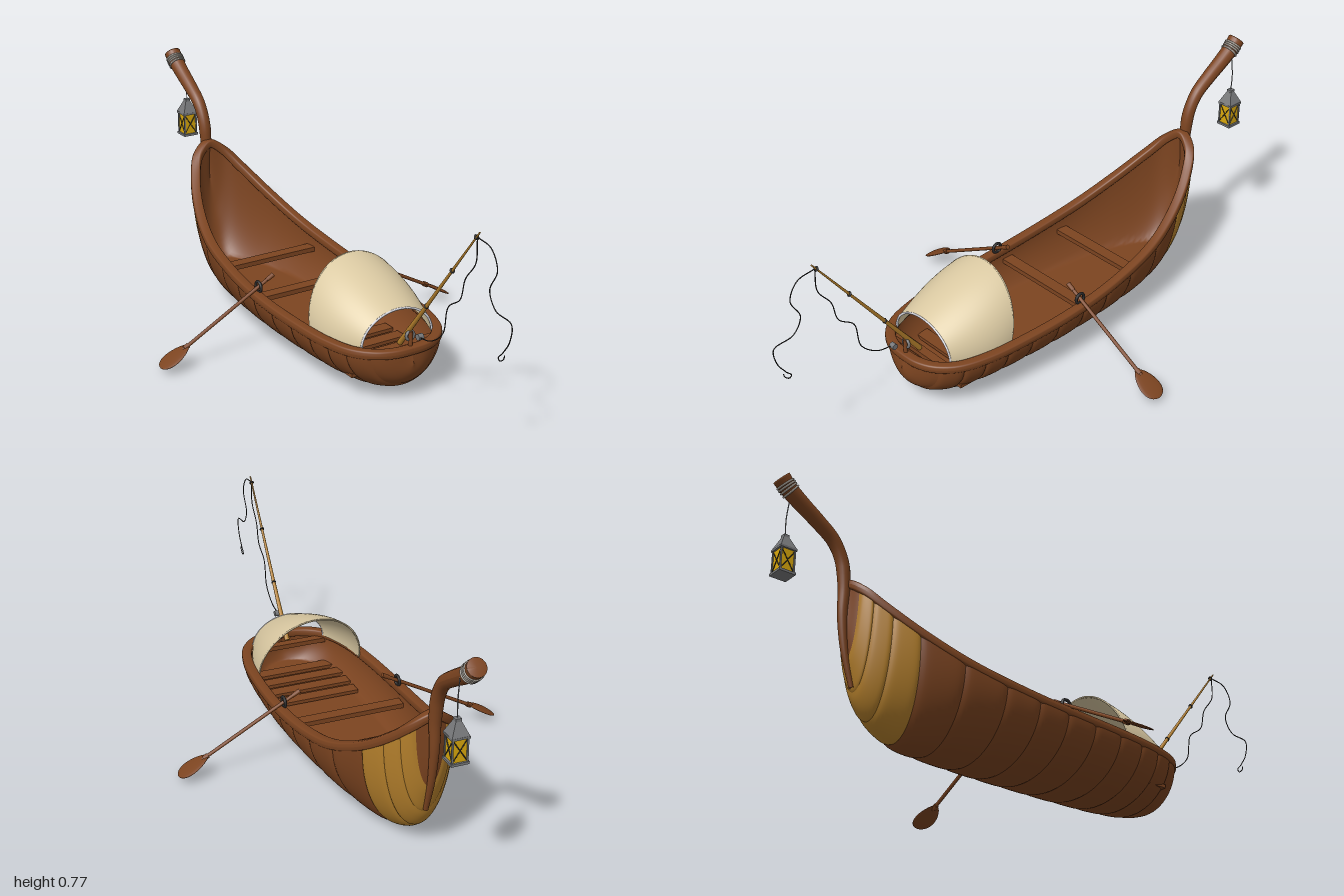
import * as THREE from 'three';
import { ParametricGeometry } from 'three/addons/geometries/ParametricGeometry.js';

const V = (x, y, z) => new THREE.Vector3(x, y, z);
const mat = (name, color) => new THREE.MeshStandardMaterial({ name, color, side: THREE.DoubleSide });

// Hull stations, bow to stern: rim z, rim y, half width, keel z, keel y
const STATIONS = [
  [.535, .16, 0, .545, .12], [.53, .16, .06, .537, .08], [.505, .16, .115, .512, .045],
  [.45, .16, .163, .45, .02], [.35, .162, .195, .35, .012], [.2, .167, .212, .2, .01],
  [0, .176, .218, 0, .008], [-.2, .197, .21, -.2, .004], [-.4, .24, .187, -.4, .001],
  [-.55, .308, .147, -.53, .005], [-.65, .378, .102, -.65, .07], [-.708, .435, .058, -.708, .2],
  [-.727, .468, 0, -.735, .36],
];
const rim = new THREE.CatmullRomCurve3(STATIONS.map(s => V(s[2], s[1], s[0])));
const keel = new THREE.CatmullRomCurve3(STATIONS.map(s => V(0, s[4], s[3])));

// Point on the hull: t runs bow to stern, v runs from one rim under the keel to the other
function hullPoint(t, v, grow, out) {
  const r = rim.getPoint(t), k = keel.getPoint(t);
  const a = (v - .5) * Math.PI, f = 1 - Math.cos(a);
  return out.set((Math.max(r.x, 0) + grow) * Math.sin(a),
    k.y + (r.y - k.y) * f - grow * (1 - f), k.z + (r.z - k.z) * f);
}

export function createModel() {
  const wood = mat('brown wood', 0x7c4420);
  const gold = mat('ochre wood', 0xb5802c);
  const cloth = mat('cream cloth', 0xdac9a2);
  const white = mat('white trim', 0xe6e6ee);
  const grey = mat('grey metal', 0x77787a);
  const dark = mat('dark iron', 0x2b2a2a);
  const glow = mat('yellow glass', 0xdba90c);
  const rope = mat('pale rope', 0xa39c92);

  const model = new THREE.Group();
  const add = (name, geo, material, parent = model) => {
    const mesh = new THREE.Mesh(geo, material);
    mesh.name = name;
    parent.add(mesh);
    return mesh;
  };
  const surface = (fn, nu, nv) => {
    const geo = new ParametricGeometry(fn, nu, nv);
    geo.computeVertexNormals();
    return geo;
  };
  const rod = (name, a, b, r0, r1, material, parent = model, sides = 10) => {
    const mesh = add(name, new THREE.CylinderGeometry(r1, r0, a.distanceTo(b), sides), material, parent);
    mesh.position.copy(a).lerp(b, .5);
    mesh.quaternion.setFromUnitVectors(V(0, 1, 0), b.clone().sub(a).normalize());
    return mesh;
  };
  const cord = (name, pts, r, material, parent = model) =>
    add(name, new THREE.TubeGeometry(new THREE.CatmullRomCurve3(pts), pts.length * 8, r, 5), material, parent);
  const box = (name, w, h, d, x, y, z, material, parent = model) => {
    const mesh = add(name, new THREE.BoxGeometry(w, h, d), material, parent);
    mesh.position.set(x, y, z);
    return mesh;
  };

  // Hull planking: bulging bands with grooves between them; ochre ones near the stern
  const seams = [0, 2.2, 3.2, 3.9, 4.5, 5.1, 5.65, 6.2, 6.75, 7.35, 8.1, 9.05, 9.8, 10.5, 11.2, 12];
  for (let i = 0; i < seams.length - 1; i++) {
    const a = seams[i] / 12, b = seams[i + 1] / 12;
    const painted = i >= 11 && i <= 13;
    add(painted ? 'ochreBand' : 'hullBand', surface((u, v, p) => {
      const bulge = i === 0 || i === 14 ? 0 : .006 * (1 - Math.pow(Math.abs(2 * u - 1), 6));
      hullPoint(a + (b - a) * u, v, bulge, p);
    }, 14, 40), painted ? gold : wood);
  }

  // Inner shell, flattened at the bottom into a floor
  add('innerHull', surface((u, v, p) => {
    hullPoint(u, v, 0, p);
    p.x *= .93;
    p.z = -.1 + (p.z + .1) * .975;
    p.y = Math.max(p.y, .06);
  }, 80, 40), wood);

  // Gunwale swept around the rim
  const side = STATIONS.map(s => V(s[2], s[1], s[0]));
  const loop = new THREE.CatmullRomCurve3(
    [...side, ...side.slice(1, -1).reverse().map(p => V(-p.x, p.y, p.z))], true);
  add('gunwale', surface((u, v, p) => {
    const c = loop.getPoint(u % 1), t = loop.getTangent(u % 1);
    const n = V(-t.z, 0, t.x).normalize(), up = t.clone().cross(n);
    const a = v * Math.PI * 2, sq = x => Math.sign(x) * Math.pow(Math.abs(x), .5);
    p.copy(c).addScaledVector(n, sq(Math.cos(a)) * .017 - .008 * Math.sign(n.dot(V(c.x, 0, c.z + .1))))
      .addScaledVector(up, sq(Math.sin(a)) * .014);
  }, 160, 16), wood);

  // Benches and the slats under the canopy
  box('bench', .36, .016, .042, 0, .165, -.32, wood);
  box('bench', .39, .016, .042, 0, .145, -.08, wood);
  box('bowBench', .27, .016, .03, 0, .145, .465, wood);
  for (const z of [.2, .27, .34, .41]) box('floorSlat', .3, .012, .045, 0, .07, z, wood);

  // Stern post: rises along the stem and curls back
  const post = new THREE.CatmullRomCurve3([[.14, -.694], [.25, -.725], [.36, -.739], [.46, -.739], [.54, -.751],
    [.6, -.785], [.645, -.845], [.68, -.9], [.715, -.95], [.742, -.978]].map(([y, z]) => V(0, y, z)));
  add('sternPost', surface((u, v, p) => {
    const s = Math.min(u / .97, 1), a = v * Math.PI * 2;
    const c = post.getPoint(s), t = post.getTangent(s);
    const size = u > .985 ? 0 : .008 + .013 * Math.min(1, s * 2.5) + .008 * Math.max(0, s - .5) * 2;
    p.set(Math.cos(a) * size, c.y + t.z * Math.sin(a) * size, c.z - t.y * Math.sin(a) * size);
  }, 70, 18), wood);
  for (let i = 0; i < 4; i++) {
    const s = .87 + i * .022;
    const ring = add('ropeWrap', new THREE.TorusGeometry(.028, .0035, 6, 24), rope);
    ring.position.copy(post.getPoint(s));
    ring.quaternion.setFromUnitVectors(V(0, 0, 1), post.getTangent(s));
  }

  // Lantern hanging from the stern post
  const lantern = new THREE.Group();
  lantern.name = 'lantern';
  lantern.position.set(.029, .44, -.933);
  model.add(lantern);
  box('lanternGlass', .044, .078, .044, 0, .042, 0, glow, lantern);
  box('lanternBase', .056, .008, .056, 0, .004, 0, grey, lantern);
  box('lanternEave', .056, .007, .056, 0, .083, 0, grey, lantern);
  const roof = add('lanternRoof', new THREE.CylinderGeometry(.013, .039, .04, 4), grey, lantern);
  roof.geometry = roof.geometry.toNonIndexed();
  roof.geometry.computeVertexNormals();
  roof.rotation.y = Math.PI / 4;
  roof.position.y = .106;
  box('lanternCap', .018, .01, .018, 0, .13, 0, grey, lantern);
  for (let i = 0; i < 4; i++) {
    const face = new THREE.Group();
    face.name = 'lanternFrame';
    face.rotation.y = i * Math.PI / 2;
    lantern.add(face);
    box('lanternCorner', .005, .08, .005, .023, .043, .023, grey, face);
    for (const s of [-1, 1]) rod('lanternCross', V(-.022 * s, .01, .023), V(.022 * s, .078, .023), .0016, .0016, dark, face, 5);
  }
  cord('lanternCord', [V(.029, .57, -.933), V(.03, .63, -.934), V(.024, .7, -.93)], .0018, grey);

  // Canopy lofted between a small front arch and a large slanted back arch
  const canopy = (u, v, p, inset = 0) => {
    const a = v * Math.PI, b = Math.sin(u * Math.PI / 2);
    const w = .133 + .052 * b - inset, h = .105 + .04 * b + .055 * u - inset;
    const lift = Math.sin(a);
    p.set(Math.cos(a) * w, .163 + lift * h, .455 - u * (.205 + .06 * lift));
  };
  add('canopy', surface((u, v, p) => canopy(u, v, p), 20, 36), cloth);
  add('canopyLining', surface((u, v, p) => canopy(u, v, p, .005), 20, 36), cloth);
  const archPoints = (u) => Array.from({ length: 17 }, (_, i) => {
    const p = V(0, 0, 0);
    canopy(u, i / 16, p, .002);
    return p;
  });
  cord('canopyFrontTrim', archPoints(0), .004, white);
  cord('canopyBackTrim', archPoints(1), .003, cloth);

  // Oars with their locks, mirrored
  for (const s of [-1, 1]) {
    const oar = new THREE.Group();
    oar.name = s > 0 ? 'leftOar' : 'rightOar';
    model.add(oar);
    const z = -.037, at = x => V(s * x, .207 - (x - .2) * .545, z);
    rod('oarShaft', at(.15), at(.48), .006, .006, wood, oar);
    rod('oarGrip', at(.145), at(.17), .008, .007, wood, oar);
    rod('oarCollar', at(.46), at(.475), .009, .009, wood, oar);
    const blade = add('oarBlade', surface((u, v, p) => {
      const a = u * Math.PI, w = .039 * Math.sin(a) * (1 + .25 * Math.cos(a - Math.PI));
      p.set(-Math.cos(a) * .057, Math.sin(v * 2 * Math.PI) * .005 * Math.sin(a), Math.cos(v * 2 * Math.PI) * w);
    }, 20, 16), wood, oar);
    blade.position.copy(at(.511));
    blade.rotation.set(0, s > 0 ? 0 : Math.PI, 0);
    blade.rotateZ(-Math.atan(.545));
    const ring = add('oarlockRing', new THREE.TorusGeometry(.017, .005, 8, 20), dark, oar);
    ring.position.copy(at(.2));
    ring.rotation.y = Math.PI / 2;
    rod('oarlockPin', V(s * .205, .165, z), V(s * .2, .193, z), .006, .006, dark, oar);
  }

  // Fishing rod with reel, guides, lines and hook
  const fishing = new THREE.Group();
  fishing.name = 'fishingRod';
  model.add(fishing);
  const A = V(0, .16, .47), B = V(0, .33, .6), C = V(-.004, .645, .842);
  rod('rodHandle', A, B, .009, .006, gold, fishing);
  rod('rodTip', B, C, .006, .0025, gold, fishing);
  rod('rodHolder', V(0, .15, .525), V(0, .22, .525), .007, .007, wood, fishing);
  const reel = add('reel', new THREE.TorusGeometry(.014, .005, 8, 18), grey, fishing);
  reel.position.set(0, .205, .522);
  const spool = add('spool', new THREE.CylinderGeometry(.01, .01, .018, 12), grey, fishing);
  spool.rotation.z = Math.PI / 2;
  spool.position.set(0, .22, .572);
  for (const t of [0, .5, .94]) {
    const guide = add('rodGuide', new THREE.TorusGeometry(.006, .0028, 6, 12), dark, fishing);
    guide.position.copy(B).lerp(C, t);
    guide.rotation.x = -.6;
  }
  const line = (name, pts) => cord(name, pts.map(([z, y]) => V(-.004, y, z)), .0018, dark, fishing);
  line('rodLine', [[.832, .625], [.83, .55], [.785, .485], [.765, .415], [.71, .37], [.69, .28], [.63, .23], [.575, .22]]);
  line('castLine', [[.832, .628], [.895, .615], [.925, .56], [.895, .49], [.925, .44], [.995, .425], [.99, .37], [.962, .325]]);
  line('hook', [[.962, .325], [.945, .305], [.952, .298], [.968, .31], [.972, .322]]);
  return model;
}
